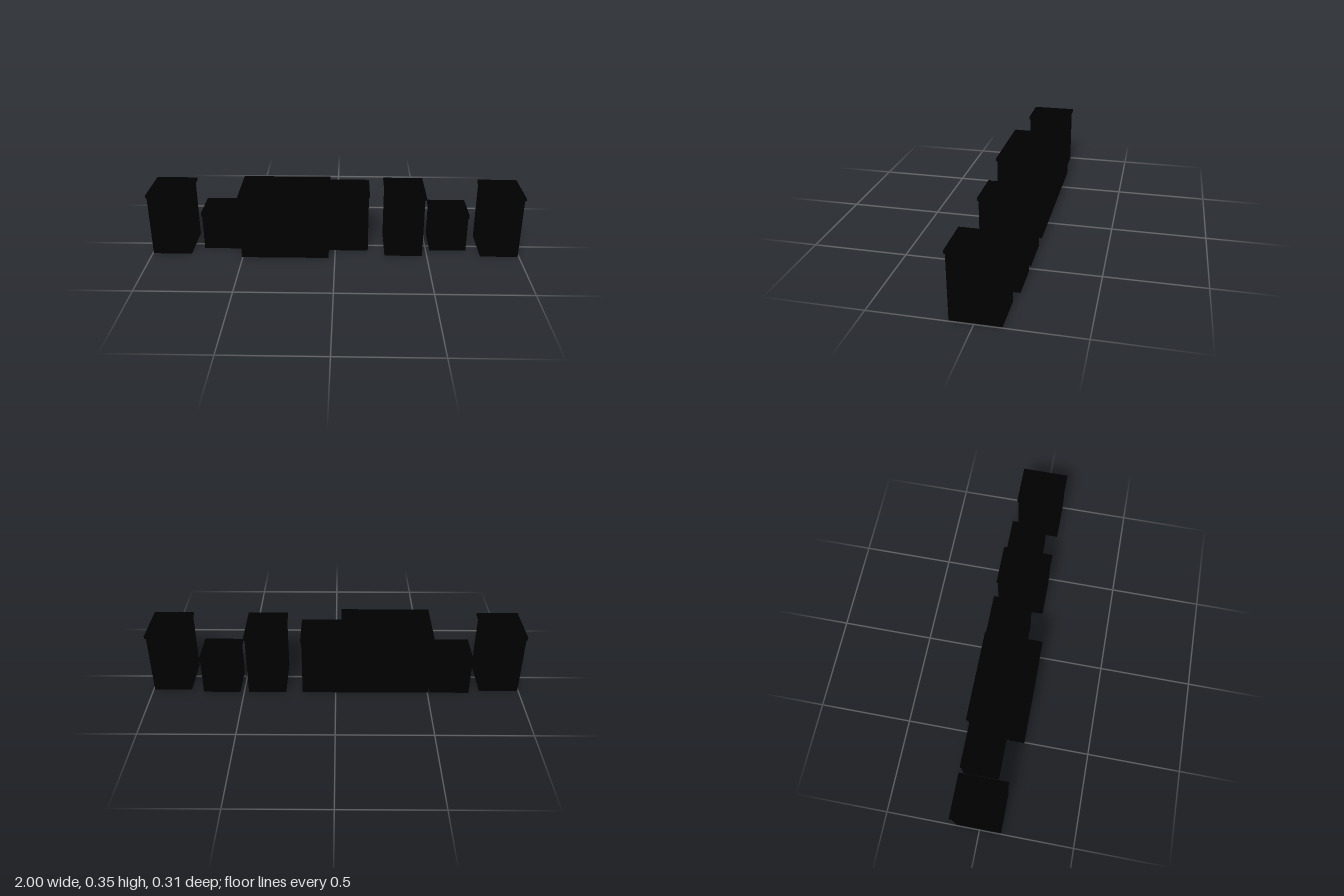
import * as THREE from 'three';
import { RoundedBoxGeometry } from 'three/addons/geometries/RoundedBoxGeometry.js';

const material = new THREE.MeshStandardMaterial({ color: 0x000000 });

// Place a box mesh between two limits on each axis
function block(name, [x0, x1], [y0, y1], [z0, z1], bevel = 0) {
  const w = x1 - x0, h = y1 - y0, d = z1 - z0;
  const geometry = bevel
    ? new RoundedBoxGeometry(w, h, d, 2, bevel)
    : new THREE.BoxGeometry(w, h, d);
  const mesh = new THREE.Mesh(geometry, material);
  mesh.name = name;
  mesh.position.set((x0 + x1) / 2, (y0 + y1) / 2, (z0 + z1) / 2);
  return mesh;
}

// A cabinet: plain carcass under a thin overhanging top
function cabinet({ name, body, top, bodyZ, topZ, height, thickness }) {
  const group = new THREE.Group();
  group.name = name;
  group.add(
    block('carcass', body, [0, height - thickness], bodyZ),
    block('worktop', top, [height - thickness, height], topZ, 0.002)
  );
  return group;
}

export function createModel() {
  const model = new THREE.Group();
  model.name = 'cabinetRow';

  // Depths shared by matching cabinets
  const endDepth = { bodyZ: [-0.126, 0.115], topZ: [-0.133, 0.12] };
  const lowDepth = { bodyZ: [-0.145, 0.05], topZ: [-0.148, 0.055] };

  const cabinets = [
    { name: 'rightEndCabinet', body: [-0.995, -0.785], top: [-1, -0.775],
      ...endDepth, height: 0.35, thickness: 0.017 },
    { name: 'rightLowCabinet', body: [-0.725, -0.513], top: [-0.73, -0.505],
      ...lowDepth, height: 0.218, thickness: 0.02 },
    { name: 'largeCabinet', body: [-0.505, -0.035], top: [-0.512, -0.03],
      bodyZ: [-0.145, 0.148], topZ: [-0.153, 0.154], height: 0.352, thickness: 0.02 },
    { name: 'middleCabinet', body: [-0.035, 0.18], top: [-0.03, 0.185],
      bodyZ: [-0.145, 0.06], topZ: [-0.149, 0.065], height: 0.337, thickness: 0.017 },
    { name: 'tallCabinet', body: [0.27, 0.474], top: [0.264, 0.481],
      bodyZ: [-0.145, 0.115], topZ: [-0.15, 0.12], height: 0.35, thickness: 0.017 },
    { name: 'leftLowCabinet', body: [0.521, 0.72], top: [0.515, 0.725],
      ...lowDepth, height: 0.218, thickness: 0.02 },
    { name: 'leftEndCabinet', body: [0.79, 0.993], top: [0.785, 1],
      ...endDepth, height: 0.35, thickness: 0.017 },
  ];
  for (const spec of cabinets) model.add(cabinet(spec));

  return model;
}
